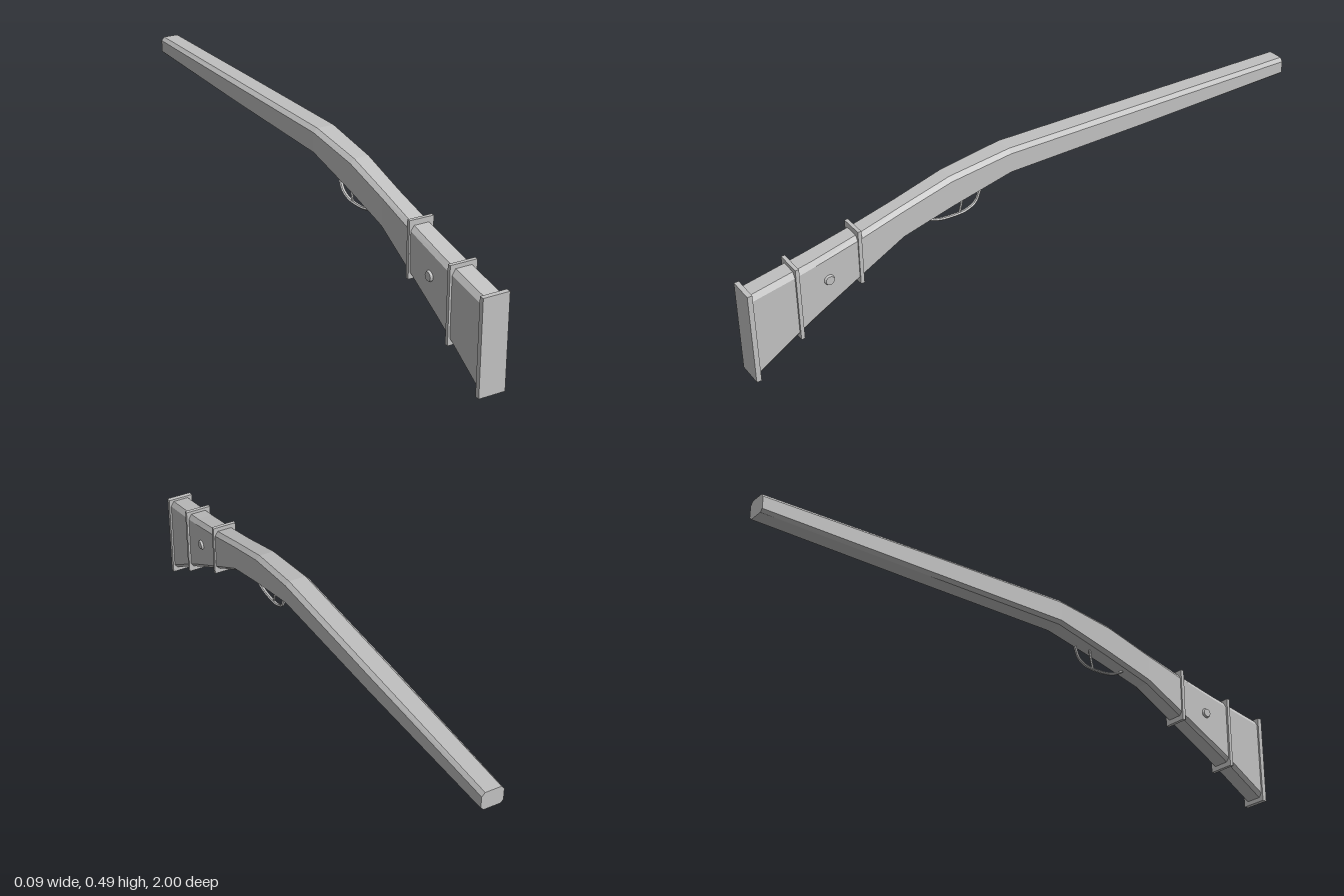
import * as THREE from 'three';

const grey = new THREE.MeshStandardMaterial({ color: 0xc0c0c0 });
grey.name = 'plain grey';
grey.flatShading = true;

// Stock stations: z, top, bottom, half width, half width of the flat, chamfer height
const stations = [
  [0.985, 0.297, 0.014, 0.038, 0.027, 0.018],
  [0.84, 0.326, 0.105, 0.038, 0.027, 0.018],
  [0.78, 0.338, 0.14, 0.037, 0.027, 0.017],
  [0.63, 0.374, 0.222, 0.036, 0.025, 0.016],
  [0.48, 0.415, 0.304, 0.035, 0.023, 0.014],
  [0.31, 0.463, 0.352, 0.038, 0.025, 0.014],
  [0.1, 0.492, 0.405, 0.042, 0.029, 0.013],
  [-0.42, 0.489, 0.413, 0.041, 0.028, 0.012],
  [-1, 0.485, 0.424, 0.036, 0.026, 0.012],
];

// Eight-cornered cross-section, anticlockwise seen from +z
function section([z, top, bottom, w, f, c]) {
  const b = c * 0.75;
  return [[f, top], [-f, top], [-w, top - c], [-w, bottom + b],
    [-f, bottom], [f, bottom], [w, bottom + b], [w, top - c]]
    .map(([x, y]) => [x, y, z]);
}

// Skin the sections in order and close both ends
function loft(rows) {
  const pos = [];
  const tri = (a, b, c) => pos.push(...a, ...b, ...c);
  const n = rows[0].length;
  for (let i = 0; i < rows.length - 1; i++) {
    for (let j = 0; j < n; j++) {
      const k = (j + 1) % n;
      const a = rows[i][j], b = rows[i][k], c = rows[i + 1][k], d = rows[i + 1][j];
      tri(a, d, c);
      tri(a, c, b);
    }
  }
  const last = rows[rows.length - 1];
  for (let j = 1; j < n - 1; j++) {
    tri(rows[0][0], rows[0][j], rows[0][j + 1]);
    tri(last[0], last[j + 1], last[j]);
  }
  const g = new THREE.BufferGeometry();
  g.setAttribute('position', new THREE.Float32BufferAttribute(pos, 3));
  g.computeVertexNormals();
  return g;
}

export function createModel() {
  const model = new THREE.Group();
  model.name = 'longGun';
  const add = (name, geometry, x = 0, y = 0, z = 0) => {
    const mesh = new THREE.Mesh(geometry, grey);
    mesh.name = name;
    mesh.position.set(x, y, z);
    model.add(mesh);
    return mesh;
  };

  add('stockAndBarrel', loft(stations.map(section)));

  // Butt plate and the two square bands: z, top, bottom, half width, thickness
  const plates = [
    ['buttPlate', 0.992, 0.305, 0, 0.044, 0.016],
    ['rearBand', 0.84, 0.338, 0.092, 0.045, 0.012],
    ['frontBand', 0.63, 0.39, 0.208, 0.041, 0.012],
  ];
  for (const [name, z, top, bottom, w, t] of plates) {
    add(name, new THREE.BoxGeometry(2 * w, top - bottom, t), 0, (top + bottom) / 2, z);
  }

  // Round bosses on both cheeks
  for (const side of [1, -1]) {
    const boss = add(side > 0 ? 'leftBoss' : 'rightBoss',
      new THREE.CylinderGeometry(0.014, 0.019, 0.012, 16), side * 0.038, 0.26, 0.737);
    boss.rotation.z = -side * Math.PI / 2;
  }

  // Trigger guard and trigger
  const guard = new THREE.CatmullRomCurve3([
    [0.4, 0.338], [0.37, 0.318], [0.335, 0.306], [0.29, 0.302],
    [0.24, 0.306], [0.205, 0.325], [0.188, 0.364],
  ].map(([z, y]) => new THREE.Vector3(0, y, z)));
  add('triggerGuard', new THREE.TubeGeometry(guard, 20, 0.0045, 6)).scale.x = 1.5;

  const trigger = new THREE.CatmullRomCurve3([
    new THREE.Vector3(0, 0.378, 0.25),
    new THREE.Vector3(0, 0.34, 0.255),
    new THREE.Vector3(0, 0.305, 0.264),
  ]);
  add('trigger', new THREE.TubeGeometry(trigger, 6, 0.004, 6));

  return model;
}
